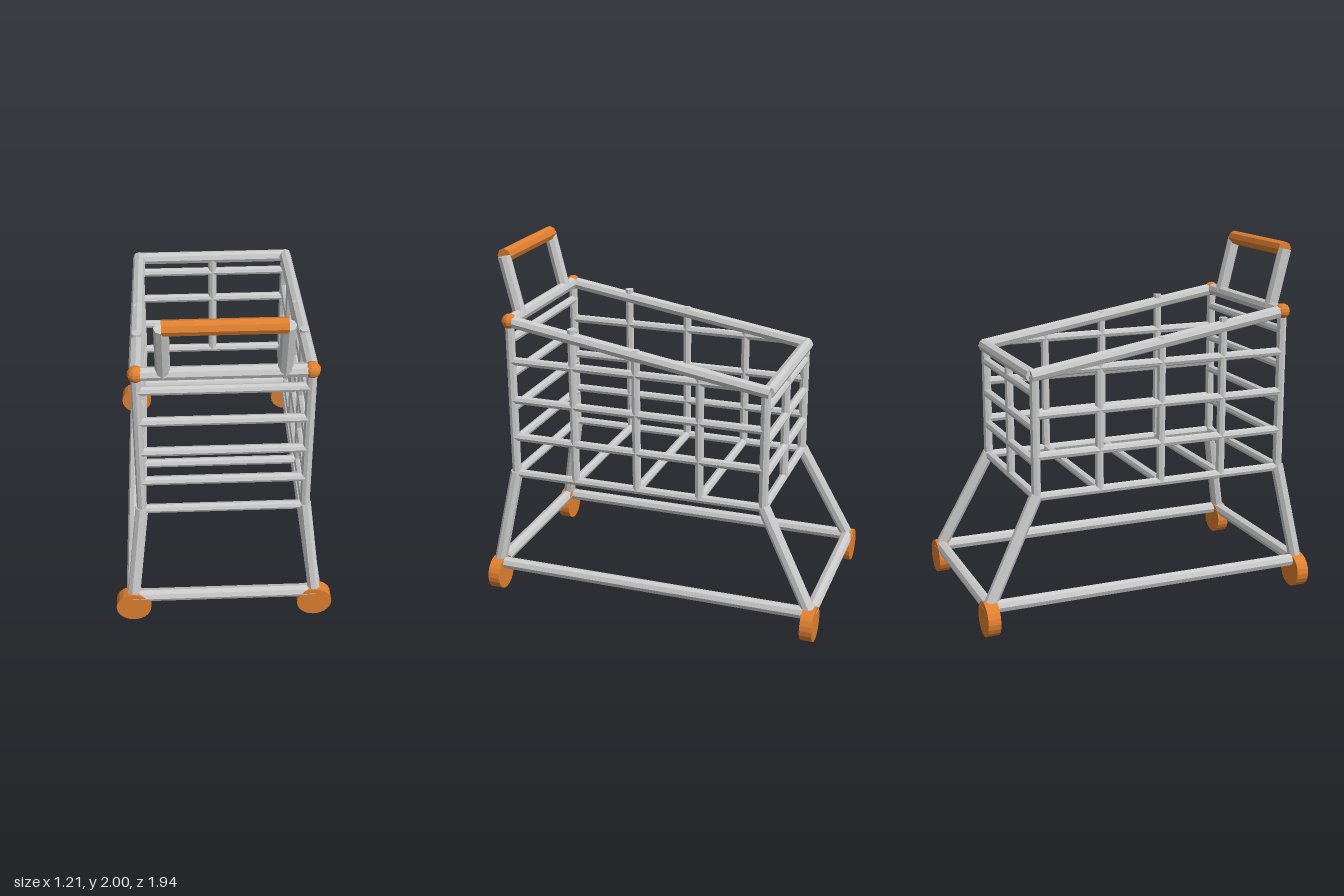
import * as THREE from 'three';

const grey = new THREE.MeshStandardMaterial({ color: 0xcccccc, flatShading: true });
const orange = new THREE.MeshStandardMaterial({ color: 0xe08030, flatShading: true });

export function createModel() {
  const cart = new THREE.Group();

  // Straight octagonal tube between two points
  function bar(name, a, b, r, mat = grey) {
    const from = new THREE.Vector3(...a), to = new THREE.Vector3(...b);
    const dir = to.clone().sub(from);
    const mesh = new THREE.Mesh(new THREE.CylinderGeometry(r, r, dir.length(), 8), mat);
    mesh.name = name;
    mesh.position.copy(from).add(to).multiplyScalar(0.5);
    mesh.quaternion.setFromUnitVectors(new THREE.Vector3(0, 1, 0), dir.normalize());
    cart.add(mesh);
  }

  const X = 0.44, FRONT = 0.83, BACK = -0.64, FLOOR = 0.72;
  const FRONT_TOP = 1.63, BACK_TOP = 1.385;
  const BASE_X = 0.51, BASE_Y = 0.16, BASE_Z = 0.935;
  const THICK = 0.036, THIN = 0.025;
  const postZ = [0.46, 0.09, -0.275], postTop = [1.62, 1.54, 1.46];

  for (const s of [-1, 1]) {
    const x = s * X;
    // Basket sides
    bar('sideTopRail', [x, FRONT_TOP, FRONT], [x, BACK_TOP, BACK - 0.02], THICK);
    bar('frontPost', [x, FLOOR, FRONT], [x, FRONT_TOP, FRONT], 0.027);
    bar('backPost', [x, FLOOR, BACK], [x, BACK_TOP, BACK], 0.027);
    postZ.forEach((z, i) => bar('sidePost', [x, FLOOR, z], [x, postTop[i], z], THIN));
    for (const y of [FLOOR, 0.945, 1.17]) bar('sideBar', [x, y, FRONT], [x, y, BACK], THIN);
    bar('sideBar', [x, 1.4, FRONT], [x, 1.4, -0.52], THIN);

    // Legs and base side rail
    bar('frontLeg', [x, FLOOR + 0.01, FRONT], [s * 0.505, BASE_Y, BASE_Z], THICK);
    bar('backLeg', [x, FLOOR + 0.01, BACK], [s * 0.505, BASE_Y, -BASE_Z], THICK);
    bar('baseSideRail', [s * BASE_X, BASE_Y, BASE_Z], [s * BASE_X, BASE_Y, -BASE_Z], THICK);

    // Corner ball
    const ball = new THREE.Mesh(new THREE.SphereGeometry(0.044, 10, 8), orange);
    ball.name = 'cornerBall';
    ball.position.set(x, FRONT_TOP, FRONT);
    cart.add(ball);

    // Wheels, with the axle along z
    for (const e of [-1, 1]) {
      const wheel = new THREE.Mesh(new THREE.CylinderGeometry(0.097, 0.097, 0.07, 20), orange);
      wheel.name = 'wheel';
      wheel.rotation.x = Math.PI / 2;
      wheel.position.set(s * 0.507, 0.097, e * BASE_Z);
      cart.add(wheel);
    }

    // Handle arm
    bar('handleArm', [s * 0.305, FRONT_TOP, FRONT], [s * 0.305, 1.96, 0.911], 0.038);
  }

  // Bars running across the cart
  const cross = (name, y, z, r, half = X) => bar(name, [-half, y, z], [half, y, z], r);
  cross('frontTopRail', FRONT_TOP, FRONT, THICK);
  cross('backTopRail', BACK_TOP, BACK - 0.01, THICK);
  for (let i = 0; i < 5; i++) cross('frontBar', FLOOR + i * 0.201, FRONT, THIN);
  for (let i = 0; i < 4; i++) cross('backBar', FLOOR + i * 0.19, BACK, THIN);
  for (const z of postZ) cross('floorBar', FLOOR, z, THIN);
  bar('backCentrePost', [0, FLOOR, BACK], [0, BACK_TOP, BACK], THIN);
  for (const e of [-1, 1]) cross('baseCrossRail', BASE_Y, e * BASE_Z, THICK, BASE_X);

  // Handle grip
  bar('handleGrip', [-0.305, 1.96, 0.911], [0.305, 1.96, 0.911], 0.041, orange);

  return cart;
}
